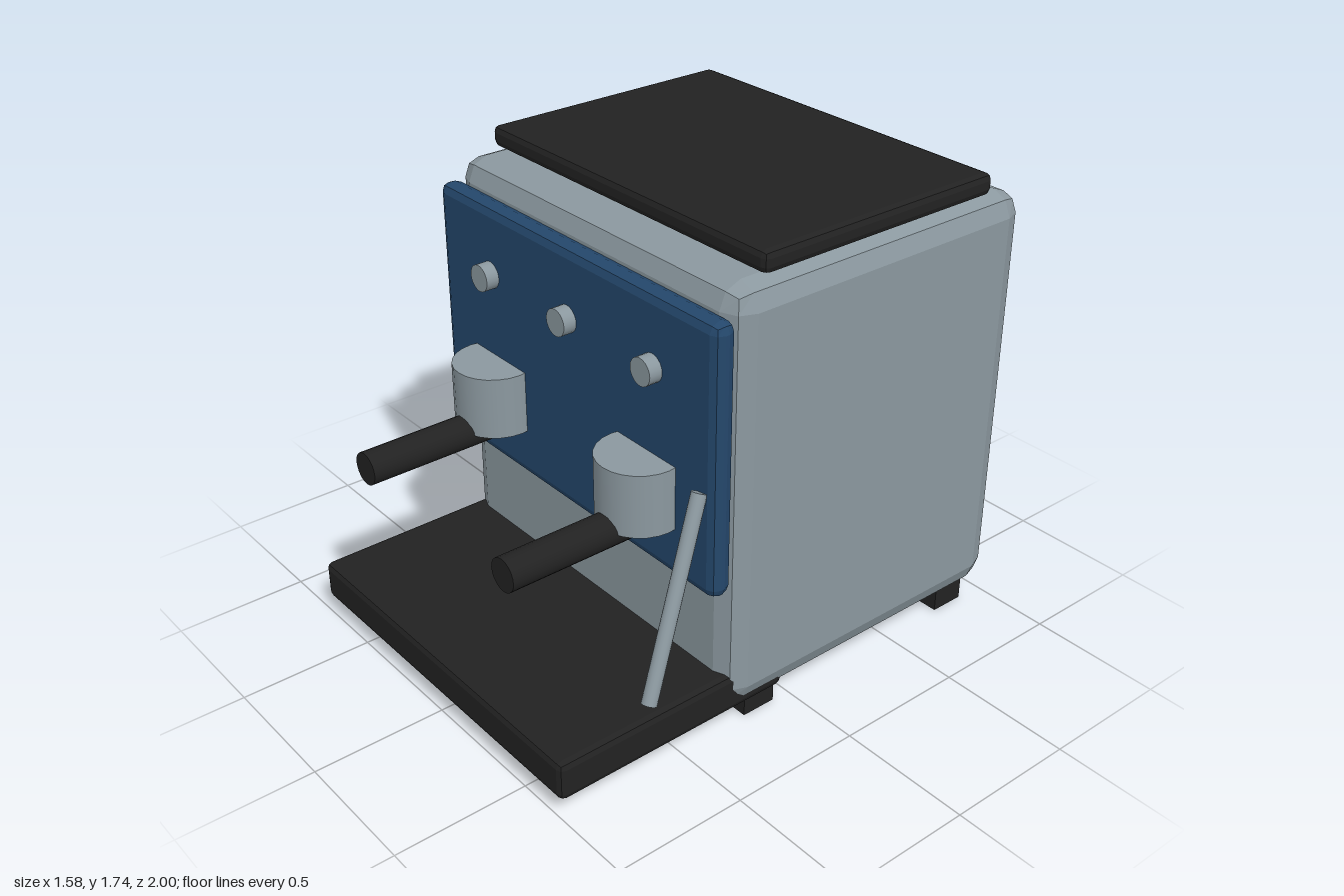
import * as THREE from 'three';
import { RoundedBoxGeometry } from 'three/addons/geometries/RoundedBoxGeometry.js';

const CENTRE = -0.033; // machine's plane of symmetry; the wand sticks out on the left side

export function createModel() {
  const model = new THREE.Group();
  model.name = 'espressoMachine';

  const material = (name, color) => {
    const m = new THREE.MeshStandardMaterial({ color });
    m.name = name;
    return m;
  };
  const steel = material('steel', 0x8b989f);
  const blue = material('bluePanel', 0x24476b);
  const black = material('blackPlastic', 0x222222);

  const add = (name, geometry, mat, x, y, z) => {
    const mesh = new THREE.Mesh(geometry, mat);
    mesh.name = name;
    mesh.position.set(x, y, z);
    model.add(mesh);
    return mesh;
  };

  // Box with two-step bevelled edges, given by its width and y / z ranges
  const bevelBox = (name, mat, width, [y0, y1], [z0, z1], radius) => {
    const g = new RoundedBoxGeometry(width, y1 - y0, z1 - z0, 1, radius);
    g.computeVertexNormals();
    return add(name, g, mat, CENTRE, (y0 + y1) / 2, (z0 + z1) / 2);
  };

  // Housing, cup tray on top, front panel and drip tray
  bevelBox('body', steel, 1.515, [0.07, 1.655], [-1, 0.31], 0.085);
  bevelBox('cupTray', black, 1.445, [1.66, 1.74], [-0.855, 0.17], 0.025);
  bevelBox('frontPanel', blue, 1.51, [0.575, 1.57], [0.302, 0.387], 0.036);
  bevelBox('dripTray', black, 1.475, [0.065, 0.215], [0.04, 1], 0.025);

  // Feet
  for (const side of [-1, 1]) {
    for (const z of [0.138, -0.828]) {
      add('foot', new THREE.BoxGeometry(0.135, 0.09, 0.135), black, CENTRE + side * 0.655, 0.045, z);
    }
  }

  // Brew heads with their handles
  const headGeometry = new THREE.CylinderGeometry(0.153, 0.153, 0.235, 24);
  const handleGeometry = new THREE.CylinderGeometry(0.061, 0.061, 0.515, 20).rotateX(Math.PI / 2);
  for (const side of [-1, 1]) {
    const x = CENTRE + side * 0.413;
    add('brewHead', headGeometry, steel, x, 0.883, 0.413);
    add('handle', handleGeometry, black, x, 0.76, 0.708);
  }

  // Row of buttons
  const buttonGeometry = new THREE.CylinderGeometry(0.05, 0.05, 0.06, 20).rotateX(Math.PI / 2);
  for (const i of [-1, 0, 1]) {
    add('button', buttonGeometry, steel, CENTRE + i * 0.447, 1.315, 0.407);
  }

  // Steam wand, leaning forward and outward
  const top = new THREE.Vector3(0.658, 0.973, 0.396);
  const tip = new THREE.Vector3(0.763, 0.343, 0.688);
  const axis = top.clone().sub(tip);
  const middle = top.clone().add(tip).multiplyScalar(0.5);
  const wand = add('steamWand', new THREE.CylinderGeometry(0.027, 0.027, axis.length(), 16), steel, middle.x, middle.y, middle.z);
  wand.quaternion.setFromUnitVectors(new THREE.Vector3(0, 1, 0), axis.normalize());

  return model;
}
